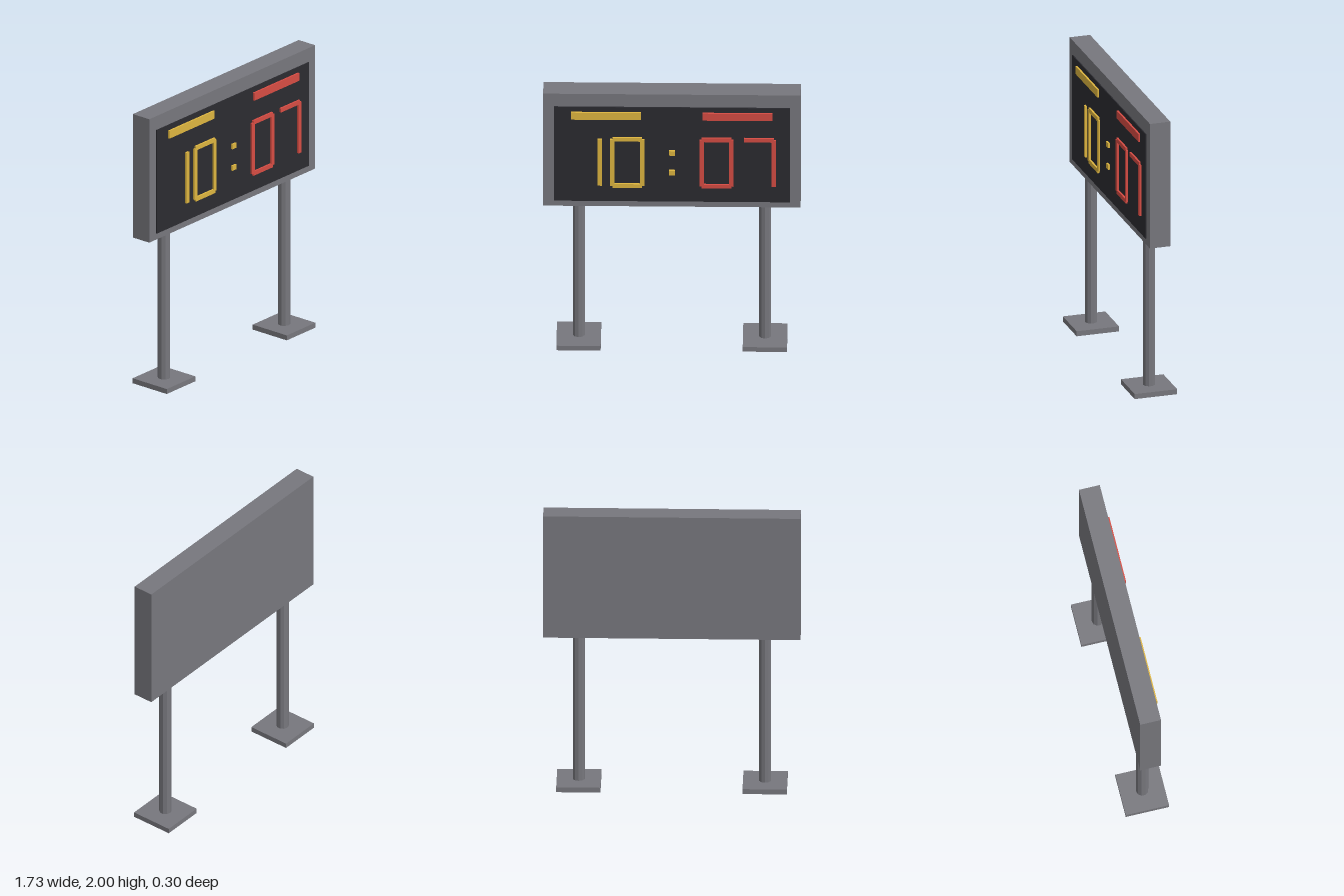
import * as THREE from 'three';

const material = (color) => new THREE.MeshStandardMaterial({ color, flatShading: true });

// Segments lit in each numeral: top, bottom, and the upper/lower verticals on either side
const LIT = {
  0: ['top', 'bottom', 'upperLeft', 'upperRight', 'lowerLeft', 'lowerRight'],
  1: ['upperRight', 'lowerRight'],
  7: ['top', 'upperRight', 'lowerRight'],
};

export function createModel() {
  const model = new THREE.Group();
  model.name = 'scoreboard';
  const metal = material(0x77777d);
  const black = material(0x2b2b30);
  const yellow = material(0xdeb53f);
  const red = material(0xd64c43);

  // Box given by its centre and size
  function box(parent, name, mat, [w, h, d], [x, y, z]) {
    const mesh = new THREE.Mesh(new THREE.BoxGeometry(w, h, d), mat);
    mesh.name = name;
    mesh.position.set(x, y, z);
    parent.add(mesh);
    return mesh;
  }

  // Cabinet and the dark display panel on its front
  box(model, 'cabinet', metal, [1.73, 0.895, 0.144], [0, 1.5525, 0]);
  box(model, 'displayPanel', black, [1.586, 0.75, 0.02], [0, 1.525, 0.069]);

  // Posts on square foot plates
  for (const side of [-1, 1]) {
    const leg = new THREE.Group();
    leg.name = side > 0 ? 'leftLeg' : 'rightLeg';
    leg.position.x = side * 0.626;
    const post = new THREE.Mesh(new THREE.CylinderGeometry(0.042, 0.042, 1.1, 10), metal);
    post.name = 'post';
    post.position.y = 0.57;
    leg.add(post);
    box(leg, 'footPlate', metal, [0.298, 0.036, 0.3], [0, 0.018, 0]);
    model.add(leg);
  }

  // Lit elements stand slightly proud of the panel
  const litZ = 0.084;
  const depth = 0.016;
  const midY = 1.464;
  const thick = 0.03;

  // Team bars above the numerals
  box(model, 'rightTeamBar', yellow, [0.47, 0.056, depth], [-0.442, 1.834, litZ]);
  box(model, 'leftTeamBar', red, [0.47, 0.056, depth], [0.442, 1.834, litZ]);

  // Seven-segment numerals
  function numeral(value, x, mat) {
    const group = new THREE.Group();
    group.name = 'numeral';
    group.position.set(x, midY, litZ);
    for (const segment of LIT[value]) {
      const up = segment === 'top' || segment.startsWith('upper') ? 1 : -1;
      if (segment === 'top' || segment === 'bottom') {
        box(group, segment + 'Segment', mat, [0.2, thick, depth], [0, up * 0.185, 0]);
      } else {
        const across = segment.endsWith('Right') ? 1 : -1;
        box(group, segment + 'Segment', mat, [thick, 0.184, depth], [across * 0.1, up * 0.092, 0]);
      }
    }
    model.add(group);
  }
  numeral(1, -0.585, yellow);
  numeral(0, -0.3, yellow);
  numeral(0, 0.3, red);
  numeral(7, 0.585, red);

  // Colon dots
  for (const y of [midY - 0.078, midY + 0.078]) {
    box(model, 'colonDot', yellow, [0.04, 0.036, depth], [0, y, litZ]);
  }
  return model;
}
